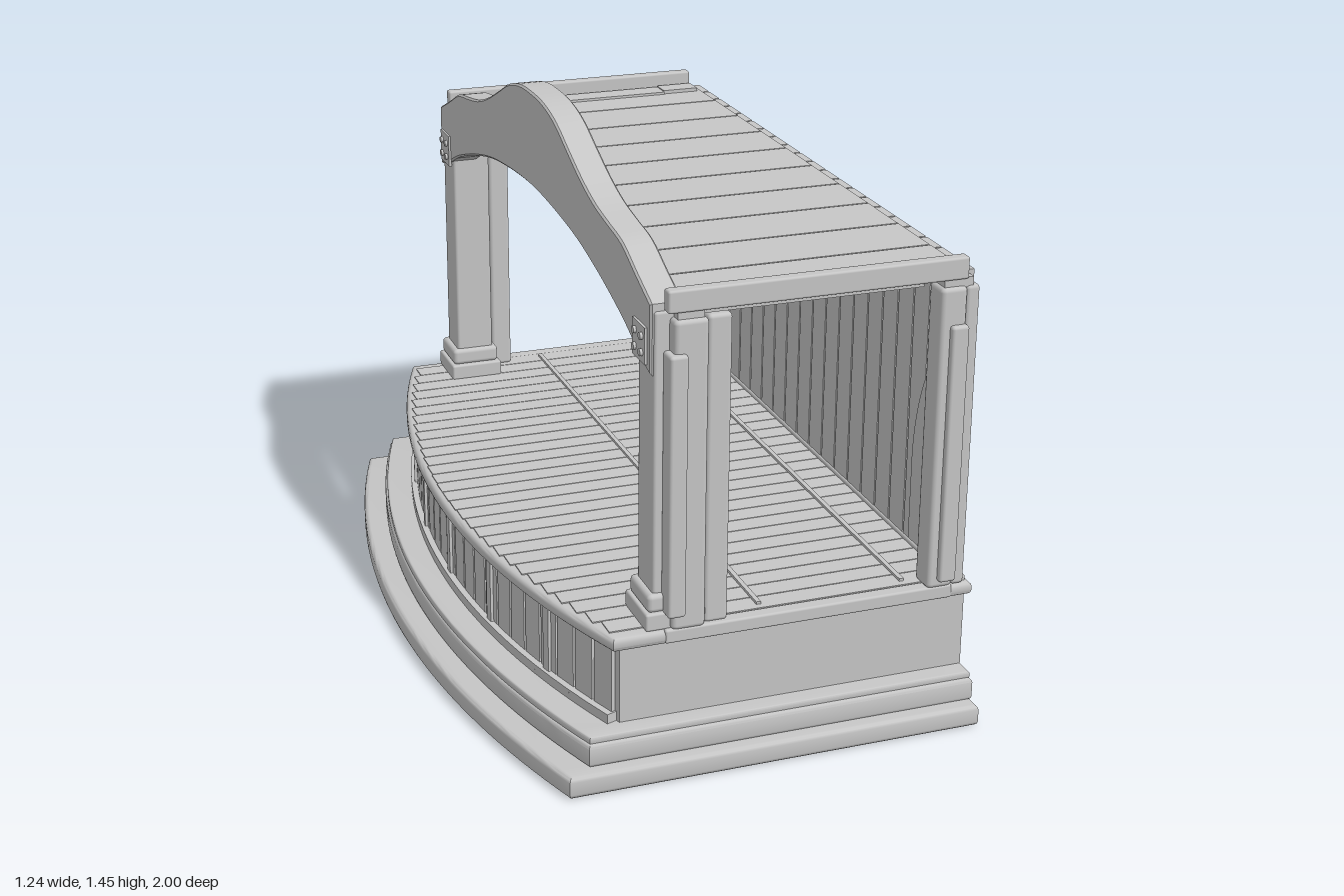
import * as THREE from 'three';
import { toCreasedNormals } from 'three/addons/utils/BufferGeometryUtils.js';
import { RoundedBoxGeometry } from 'three/addons/geometries/RoundedBoxGeometry.js';

const paint = new THREE.MeshStandardMaterial({ color: 0xc6c6c6 });
paint.name = 'grey paint';

// Radius of the bowed front through (xFront, 0) and (xCorner, +-half)
function arcRadius(xFront, xCorner, half) {
  const s = xCorner - xFront;
  return (half * half + s * s) / (2 * s);
}
function arcX(xFront, r, z) {
  return xFront + r - Math.sqrt(r * r - z * z);
}

export function createModel() {
  const root = new THREE.Group();
  root.name = 'stage';

  function add(parent, name, geometry) {
    const mesh = new THREE.Mesh(geometry, paint);
    mesh.name = name;
    parent.add(mesh);
    return mesh;
  }
  // Box given by its limits, optionally with rounded edges
  function box(parent, name, x0, x1, y0, y1, z0, z1, round = 0) {
    const w = x1 - x0, h = y1 - y0, d = z1 - z0;
    const g = round ? new RoundedBoxGeometry(w, h, d, 2, round) : new THREE.BoxGeometry(w, h, d);
    const mesh = add(parent, name, g);
    mesh.position.set((x0 + x1) / 2, (y0 + y1) / 2, (z0 + z1) / 2);
    return mesh;
  }
  // Slab with a straight back and a bowed front
  function slab(name, xFront, xCorner, xBack, half, y0, y1, bevel) {
    const r = arcRadius(xFront, xCorner, half);
    const shape = new THREE.Shape();
    shape.moveTo(xBack, -half);
    shape.lineTo(xBack, half);
    for (let i = 0; i <= 40; i++) {
      const z = half * (1 - i / 20);
      shape.lineTo(arcX(xFront, r, z), z);
    }
    shape.closePath();
    const g = new THREE.ExtrudeGeometry(shape, {
      depth: y1 - y0 - 2 * bevel, bevelEnabled: bevel > 0, bevelThickness: bevel,
      bevelSize: bevel, bevelOffset: -bevel, bevelSegments: 3,
    });
    g.rotateX(-Math.PI / 2).translate(0, y0 + bevel, 0);
    add(root, name, toCreasedNormals(g, 0.6));
  }

  // Stepped base and stage body
  slab('lowerStep', -0.62, -0.45, 0.62, 1, 0, 0.057, 0.012);
  slab('upperStep', -0.56, -0.39, 0.617, 0.965, 0.055, 0.115, 0.01);
  slab('upperStepTop', -0.555, -0.385, 0.613, 0.955, 0.11, 0.131, 0.005);
  slab('stageBody', -0.46, -0.295, 0.61, 0.907, 0.13, 0.345, 0);
  slab('deckLip', -0.495, -0.32, 0.615, 0.935, 0.335, 0.37, 0.012);

  // Upright slats and baseboard along the bowed front
  const apron = new THREE.Group();
  apron.name = 'frontApron';
  root.add(apron);
  const rBody = arcRadius(-0.46, -0.295, 0.907);
  const angle = Math.asin(0.895 / rBody);
  const slats = 24, pitch = 2 * angle / slats;
  for (let i = 0; i < slats; i++) {
    const a = -angle + (i + 0.5) * pitch;
    const place = (mesh, r, y) => {
      mesh.position.set(-0.46 + rBody - r * Math.cos(a), y, r * Math.sin(a));
      mesh.rotation.y = a;
    };
    const w = rBody * pitch;
    place(add(apron, 'slat', new THREE.BoxGeometry(0.012, 0.19, w - 0.008)), rBody + 0.004, 0.24);
    place(add(apron, 'baseboard', new THREE.BoxGeometry(0.03, 0.026, w + 0.002)), rBody + 0.012, 0.143);
    if (i % 4 === 0) {
      place(add(apron, 'apronPilaster', new THREE.BoxGeometry(0.02, 0.18, 0.025)), rBody + 0.008, 0.245);
    }
  }

  // Deck boards cut to the bowed edge, with two raised seams
  const deck = new THREE.Group();
  deck.name = 'deckBoards';
  root.add(deck);
  const rDeck = arcRadius(-0.48, -0.31, 0.92);
  const boards = 30, boardW = 1.8 / boards;
  for (let i = 0; i < boards; i++) {
    const z = -0.9 + (i + 0.5) * boardW;
    const x0 = arcX(-0.48, rDeck, Math.abs(z) + boardW / 2);
    box(deck, 'deckBoard', x0, 0.57, 0.366, 0.373, z - boardW / 2 + 0.0015, z + boardW / 2 - 0.0015);
  }
  for (const x of [0.07, 0.45]) box(deck, 'deckSeam', x - 0.006, x + 0.006, 0.37, 0.38, -0.88, 0.88);

  // Back wall of upright planks
  const wall = new THREE.Group();
  wall.name = 'backWall';
  root.add(wall);
  box(wall, 'wallBacking', 0.57, 0.584, 0.37, 1.175, -0.9, 0.9);
  const plankW = 1.81 / 21;
  for (let i = 0; i < 21; i++) {
    const z = -0.905 + i * plankW;
    box(wall, 'wallPlank', 0.565, 0.59, 0.382, 1.178, z + 0.003, z + plankW - 0.003);
  }
  box(wall, 'wallSill', 0.56, 0.605, 0.365, 0.383, -0.92, 0.92, 0.006);

  // Roof of boards running front to back
  const roof = new THREE.Group();
  roof.name = 'roof';
  root.add(roof);
  box(roof, 'roofBacking', -0.138, 0.57, 1.163, 1.174, -0.905, 0.905);
  for (let i = 0; i < 10; i++) {
    const z = -0.89 + i * 0.178;
    box(roof, 'roofBoard', -0.14, 0.568, 1.16, 1.18, z + 0.0025, z + 0.1755);
  }

  // Arched valance over the stage opening
  const top = [[0.9, 1.183], [0.8, 1.225], [0.7, 1.268], [0.6, 1.285], [0.5, 1.303], [0.4, 1.335],
    [0.3, 1.378], [0.2, 1.422], [0.1, 1.445], [0, 1.45]];
  const under = [[0.9, 1.01], [0.82, 1.035], [0.7, 1.085], [0.5, 1.143], [0.3, 1.18], [0, 1.2]];
  const curve = (half) => {
    const mirrored = half.slice(0, -1).reverse().map(([z, y]) => [-z, y]);
    const pts = [...half, ...mirrored].map(([z, y]) => new THREE.Vector2(z, y));
    return new THREE.SplineCurve(pts).getPoints(72);
  };
  const arch = new THREE.Shape([...curve(top), ...curve(under).reverse()]);
  const archGeo = new THREE.ExtrudeGeometry(arch, {
    depth: 0.07, bevelThickness: 0.005, bevelSize: 0.005, bevelOffset: -0.005, bevelSegments: 1,
  });
  archGeo.rotateY(-Math.PI / 2).translate(-0.145, 0, 0);
  add(root, 'archedValance', toCreasedNormals(archGeo, 0.5));

  // Parts that repeat at both ends
  for (const s of [-1, 1]) {
    const end = new THREE.Group();
    end.name = s > 0 ? 'endFrameA' : 'endFrameB';
    root.add(end);
    const side = (name, x0, x1, y0, y1, za, zb, round) =>
      box(end, name, x0, x1, y0, y1, Math.min(s * za, s * zb), Math.max(s * za, s * zb), round);

    side('roofBeam', -0.19, 0.56, 1.167, 1.222, 0.905, 0.937, 0.006);
    side('roofBeamTrim', -0.13, 0.45, 1.157, 1.172, 0.895, 0.925);
    side('roofCleat', -0.1, 0.45, 1.178, 1.187, 0.825, 0.89);
    side('roofCornerBlock', 0.45, 0.555, 1.178, 1.19, 0.83, 0.89);
    side('floorBeam', -0.19, 0.56, 0.337, 0.373, 0.9, 0.937, 0.006);

    // Front column with stepped base
    side('columnFoot', -0.235, -0.085, 0.37, 0.415, 0.775, 0.925, 0.006);
    side('columnPlinth', -0.228, -0.092, 0.413, 0.46, 0.785, 0.918, 0.012);
    side('frontColumn', -0.212, -0.105, 0.45, 1.165, 0.798, 0.905, 0.008);

    // Side posts and outer pilasters
    side('frontSidePost', -0.175, -0.09, 0.37, 1.15, 0.87, 0.94, 0.012);
    side('frontInnerPost', -0.088, -0.028, 0.37, 1.15, 0.86, 0.925, 0.01);
    side('frontPostCap', -0.165, -0.1, 1.145, 1.17, 0.88, 0.93);
    side('frontPilaster', -0.19, -0.145, 0.41, 1.07, 0.9, 0.955, 0.008);
    side('backSidePost', 0.49, 0.558, 0.37, 1.15, 0.87, 0.94, 0.012);
    side('backCornerPost', 0.556, 0.592, 0.37, 1.15, 0.87, 0.935, 0.01);
    side('backPostCap', 0.5, 0.575, 1.145, 1.17, 0.88, 0.93);
    side('backPilaster', 0.515, 0.56, 0.39, 1.057, 0.9, 0.955, 0.008);

    // Bolted bracket on the valance
    side('bracket', -0.226, -0.218, 1.03, 1.12, 0.795, 0.88);
    for (const y of [1.055, 1.095]) {
      for (const z of [0.815, 0.86]) {
        const bolt = add(end, 'bolt', new THREE.CylinderGeometry(0.009, 0.009, 0.016, 12));
        bolt.rotation.z = Math.PI / 2;
        bolt.position.set(-0.225, y, s * z);
      }
    }

    // Pointed panel on the inside of the back wall
    const lancet = new THREE.Shape();
    lancet.moveTo(-0.06, 0.39);
    lancet.lineTo(0.06, 0.39);
    lancet.lineTo(0.06, 0.62);
    lancet.quadraticCurveTo(0.055, 0.75, 0, 0.86);
    lancet.quadraticCurveTo(-0.055, 0.75, -0.06, 0.62);
    const panelGeo = new THREE.ExtrudeGeometry(lancet, { depth: 0.008, bevelEnabled: false });
    panelGeo.rotateY(-Math.PI / 2).translate(0.566, 0, s * 0.75);
    add(end, 'pointedPanel', panelGeo);
  }
  return root;
}
